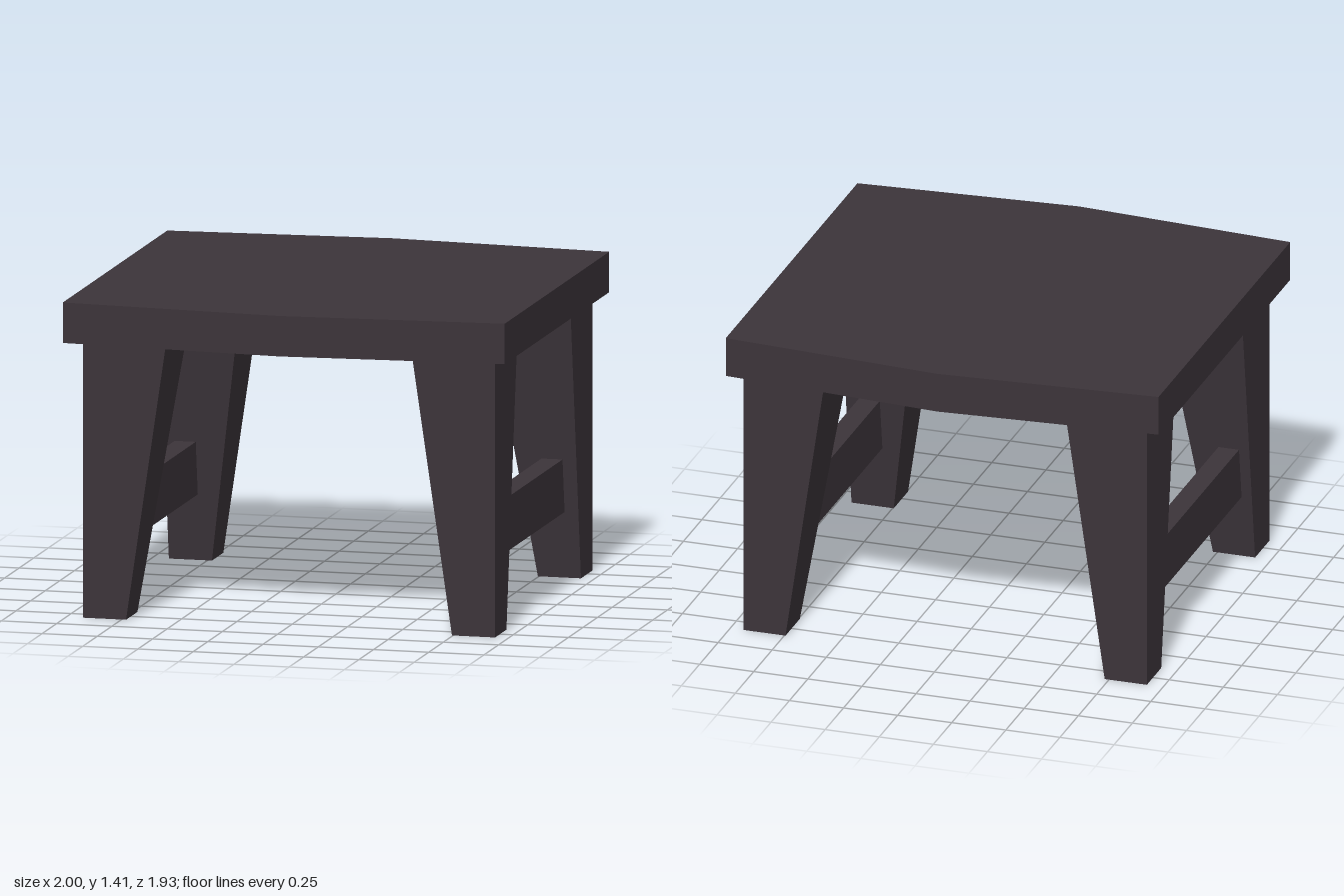
import * as THREE from 'three';

const SEAT_BOTTOM = 1.23, SEAT_TOP = 1.41;

export function createModel() {
  const model = new THREE.Group();
  model.name = 'stool';
  const darkWood = new THREE.MeshStandardMaterial({ color: 0x3c343a, flatShading: true });
  darkWood.name = 'darkWood';

  const add = (name, geometry) => {
    const mesh = new THREE.Mesh(geometry, darkWood);
    mesh.name = name;
    model.add(mesh);
    return mesh;
  };

  // Seat: a slab whose front and back edges come to a shallow point
  const outline = new THREE.Shape([
    [-1, -0.895], [0, -0.967], [1, -0.895], [1, 0.895], [0, 0.967], [-1, 0.895],
  ].map(([x, z]) => new THREE.Vector2(x, z)));
  const seat = new THREE.ExtrudeGeometry(outline, { depth: SEAT_TOP - SEAT_BOTTOM, bevelEnabled: false });
  seat.rotateX(-Math.PI / 2).translate(0, SEAT_BOTTOM, 0);
  add('seat', seat);

  // Legs: upright on the outer faces, tapering down on the inner faces
  const topWidth = 0.375, footWidth = 0.195;
  for (const sx of [-1, 1]) {
    for (const sz of [-1, 1]) {
      const outerX = sx > 0 ? 0.94 : -0.925;
      const outerZ = sz * 0.833;
      const leg = new THREE.BoxGeometry(1, SEAT_BOTTOM, 1).translate(0, SEAT_BOTTOM / 2, 0);
      const p = leg.attributes.position;
      for (let i = 0; i < p.count; i++) {
        const width = p.getY(i) > 0.5 ? topWidth : footWidth;
        const x = outerX - (p.getX(i) * sx > 0 ? 0 : sx * width);
        const z = outerZ - (p.getZ(i) * sz > 0 ? 0 : sz * width);
        p.setXYZ(i, x, p.getY(i), z);
      }
      leg.computeVertexNormals();
      add(`${sz > 0 ? 'front' : 'back'}${sx > 0 ? 'Left' : 'Right'}Leg`, leg);
    }

    // Stretcher: rail joining the front and back legs, its ends set into them
    add(sx > 0 ? 'leftStretcher' : 'rightStretcher', new THREE.BoxGeometry(0.095, 0.24, 1.24))
      .position.set(sx * 0.83, 0.42, 0);
  }
  return model;
}
